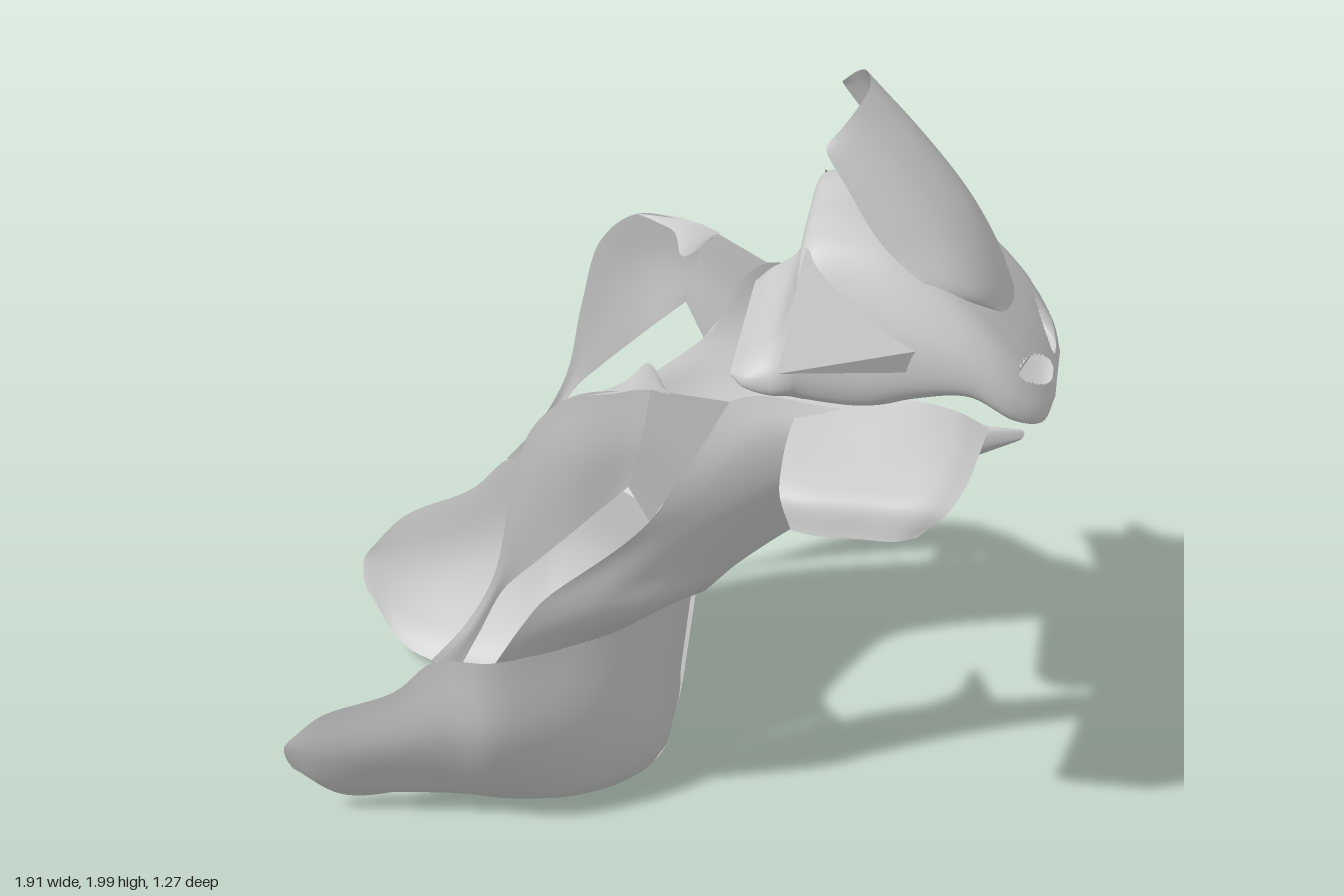
import * as THREE from 'three';

const paint = new THREE.MeshStandardMaterial({ color: 0xcccccc, side: THREE.DoubleSide });
paint.name = 'light grey plastic';

const spline = (pts, n) => {
  const curve = new THREE.CatmullRomCurve3(pts);
  return Array.from({ length: n + 1 }, (_, i) => curve.getPoint(i / n));
};

// Smooth skin through cross-sections of [x, y, z] points; skip(p) leaves openings
function loft(name, sections, nu = 24, nv = 32, skip = () => false) {
  const rows = sections.map(s => spline(s.map(p => new THREE.Vector3(...p)), nu));
  const cols = rows[0].map((_, i) => spline(rows.map(r => r[i]), nv));
  const pos = [], index = [];
  cols.forEach(c => c.forEach(p => pos.push(p.x, p.y, p.z)));
  for (let i = 0; i < nu; i++) for (let j = 0; j < nv; j++) {
    const a = i * (nv + 1) + j, b = a + nv + 1;
    const mid = cols[i][j].clone().add(cols[i + 1][j + 1]).multiplyScalar(0.5);
    if (!skip(mid)) index.push(a, b, a + 1, b, b + 1, a + 1);
  }
  const g = new THREE.BufferGeometry();
  g.setAttribute('position', new THREE.Float32BufferAttribute(pos, 3));
  g.setIndex(index);
  g.computeVertexNormals();
  const m = new THREE.Mesh(g, paint);
  m.name = name;
  return m;
}

// Separate flat triangles
function facets(name, tris) {
  const g = new THREE.BufferGeometry();
  g.setAttribute('position', new THREE.Float32BufferAttribute(tris.flat(2), 3));
  g.computeVertexNormals();
  const m = new THREE.Mesh(g, paint);
  m.name = name;
  return m;
}

// Completes a half section that starts on the centre line
const whole = half => [...half.slice(1).reverse().map(([x, y, z]) => [x, y, -z]), ...half];

function sideParts() {
  const side = new THREE.Group();

  // Belly panel: sections run from the top edge down and under, tail to keel-like front
  side.add(loft('bellyPanel', [
    [[-0.94, 0.29, 0.475], [-0.955, 0.265, 0.47], [-0.958, 0.235, 0.46], [-0.955, 0.21, 0.45], [-0.945, 0.18, 0.44]],
    [[-0.84, 0.395, 0.5], [-0.87, 0.26, 0.475], [-0.87, 0.15, 0.43], [-0.86, 0.1, 0.4], [-0.83, 0.055, 0.365]],
    [[-0.65, 0.49, 0.51], [-0.66, 0.3, 0.485], [-0.66, 0.12, 0.385], [-0.66, 0.06, 0.335], [-0.66, 0.035, 0.28]],
    [[-0.54, 0.595, 0.515], [-0.52, 0.35, 0.495], [-0.52, 0.12, 0.375], [-0.52, 0.04, 0.29], [-0.525, 0.022, 0.155]],
    [[-0.4, 0.6, 0.51], [-0.4, 0.35, 0.495], [-0.4, 0.12, 0.37], [-0.4, 0.03, 0.28], [-0.4, 0.012, 0.065]],
    [[-0.25, 0.595, 0.42], [-0.25, 0.35, 0.42], [-0.25, 0.12, 0.33], [-0.25, 0.03, 0.25], [-0.25, 0.01, 0.065]],
    [[-0.12, 0.59, 0.31], [-0.12, 0.35, 0.31], [-0.12, 0.12, 0.25], [-0.14, 0.035, 0.19], [-0.16, 0.012, 0.065]],
    [[-0.02, 0.59, 0.18], [-0.03, 0.35, 0.18], [-0.04, 0.14, 0.16], [-0.06, 0.06, 0.13], [-0.09, 0.025, 0.07]],
    [[0.05, 0.6, 0.1], [0.02, 0.35, 0.085], [0, 0.19, 0.08], [-0.02, 0.1, 0.08], [-0.05, 0.05, 0.07]],
  ], 28, 48));

  // Front panel: sections run from the window edge to the leading edge, with an overhanging shelf
  side.add(loft('frontPanel', [
    [[-0.39, 0.595, 0.505], [-0.25, 0.595, 0.42], [-0.12, 0.59, 0.31], [-0.02, 0.59, 0.18], [0.05, 0.6, 0.1]],
    [[-0.31, 0.73, 0.51], [-0.13, 0.74, 0.465], [0.0, 0.745, 0.41], [0.06, 0.735, 0.34], [0.105, 0.7, 0.25]],
    [[-0.26, 0.8, 0.51], [-0.07, 0.84, 0.47], [0.04, 0.85, 0.41], [0.13, 0.83, 0.33], [0.19, 0.8, 0.27]],
    [[0, 1.03, 0.48], [0.08, 1.02, 0.435], [0.17, 1.0, 0.385], [0.26, 0.97, 0.325], [0.35, 0.93, 0.265]],
    [[0.18, 1.32, 0.375], [0.25, 1.23, 0.39], [0.33, 1.14, 0.365], [0.43, 1.08, 0.31], [0.5, 1.02, 0.265]],
    [[0.45, 1.28, 0.3], [0.51, 1.24, 0.32], [0.56, 1.2, 0.32], [0.61, 1.14, 0.3], [0.66, 1.1, 0.265]],
    [[0.88, 1.235, 0.26], [0.885, 1.23, 0.26], [0.885, 1.22, 0.26], [0.88, 1.21, 0.26], [0.87, 1.2, 0.255]],
  ], 28, 48));

  // Upper band and slim rear strut around the window
  const corner = [[-0.05, 1.13, 0.49], [-0.02, 1.25, 0.48], [0, 1.38, 0.45]];
  side.add(loft('upperBand', [[[0, 1.03, 0.48], [0.09, 1.17, 0.445], [0.18, 1.32, 0.375]], corner], 12, 8));
  side.add(loft('rearStrut', [
    corner,
    [[-0.13, 1.055, 0.5], [-0.15, 1.23, 0.515], [-0.18, 1.375, 0.5]],
    [[-0.2, 0.987, 0.51], [-0.24, 1.17, 0.52], [-0.28, 1.285, 0.515]],
    [[-0.28, 0.91, 0.515], [-0.31, 1.01, 0.52], [-0.335, 1.09, 0.52]],
    [[-0.36, 0.825, 0.515], [-0.37, 0.845, 0.52], [-0.38, 0.87, 0.52]],
    [[-0.42, 0.7, 0.51], [-0.44, 0.705, 0.515], [-0.46, 0.71, 0.51]],
    [[-0.47, 0.595, 0.505], [-0.51, 0.595, 0.51], [-0.55, 0.595, 0.51]],
  ], 12, 48));

  // Folded flange along the top edge, drawn in to a point
  side.add(loft('topFlange', [
    [[-0.18, 1.375, 0.5], [-0.16, 1.373, 0.49], [-0.14, 1.37, 0.48]],
    [[-0.08, 1.383, 0.485], [-0.075, 1.38, 0.45], [-0.07, 1.375, 0.41]],
    [[-0.02, 1.383, 0.455], [-0.025, 1.375, 0.37], [-0.03, 1.365, 0.29]],
    [[0.05, 1.365, 0.44], [0.04, 1.365, 0.43], [0.03, 1.36, 0.41]],
  ], 8, 20));

  // Hand guard, arched outward and down
  side.add(loft('handGuard', [
    [[0.35, 1.285, 0.27], [0.45, 1.285, 0.27], [0.62, 1.3, 0.27], [0.72, 1.28, 0.27], [0.8, 1.24, 0.27]],
    [[0.33, 1.27, 0.4], [0.42, 1.265, 0.4], [0.6, 1.275, 0.4], [0.72, 1.26, 0.4], [0.785, 1.235, 0.4]],
    [[0.325, 1.24, 0.53], [0.4, 1.235, 0.54], [0.58, 1.235, 0.54], [0.7, 1.235, 0.54], [0.765, 1.22, 0.52]],
    [[0.33, 1.2, 0.6], [0.4, 1.2, 0.61], [0.55, 1.2, 0.61], [0.67, 1.2, 0.61], [0.73, 1.19, 0.6]],
    [[0.36, 1.125, 0.625], [0.42, 1.12, 0.635], [0.52, 1.12, 0.635], [0.61, 1.12, 0.635], [0.66, 1.13, 0.625]],
  ]));

  // Pointed side wing of the nose cowl
  const tip = [0.31, 1.48, 0.51], top = [0.34, 1.67, 0.22], front = [0.65, 1.46, 0.3];
  const low = [0.29, 1.36, 0.28], lowFront = [0.62, 1.4, 0.31];
  side.add(facets('cowlWing', [[tip, front, top], [tip, lowFront, front], [tip, low, lowFront]]));

  // Slats inside the head lamp opening
  for (const y of [1.33, 1.37]) {
    const slat = new THREE.Mesh(new THREE.BoxGeometry(0.04, 0.008, 0.2), paint);
    slat.name = 'lampSlat';
    slat.position.set(0.84, y, 0.14);
    slat.rotation.y = -0.25;
    side.add(slat);
  }
  return side;
}

// Head lamp opening: slanted ellipse on the nose, clear of the underside
function inLamp(p) {
  if (p.x < 0.82 || p.y < 1.29) return false;
  const u = Math.abs(p.z) - 0.14, v = p.y - 1.34 - u * 0.35;
  return (u / 0.11) ** 2 + (v / 0.036) ** 2 < 1;
}

export function createModel() {
  const model = new THREE.Group();
  model.name = 'motorcycleFairing';

  const left = sideParts();
  left.name = 'leftSide';
  const right = left.clone();
  right.name = 'rightSide';
  right.scale.z = -1;
  model.add(left, right);

  // Centre strip joining the two belly panels
  const path = [[-0.19, 0.06], [-0.14, 0.025], [-0.07, 0.03], [-0.02, 0.1], [-0.01, 0.22], [0, 0.35], [0.02, 0.48], [0.045, 0.57]];
  model.add(loft('centreStrip', path.map(([x, y], i) =>
    whole([[x - 0.015, y, 0], [x, y, 0.05], [x + 0.005, y + i * 0.005, 0.085 + i * 0.002]])), 12, 28));

  // Nose cowl: x, top, bottom, upper half width, lower half width
  const stations = [
    [0.165, 1.335, 1.325, 0.22, 0.25], [0.2, 1.37, 1.31, 0.25, 0.29], [0.27, 1.43, 1.29, 0.25, 0.3],
    [0.315, 1.56, 1.285, 0.24, 0.3], [0.34, 1.69, 1.28, 0.225, 0.3], [0.5, 1.7, 1.275, 0.225, 0.31],
    [0.62, 1.64, 1.31, 0.235, 0.315], [0.75, 1.53, 1.325, 0.25, 0.31], [0.86, 1.41, 1.26, 0.24, 0.287],
    [0.925, 1.32, 1.235, 0.18, 0.23], [0.952, 1.27, 1.25, 0.08, 0.11],
  ];
  model.add(loft('noseCowl', stations.map(([x, t, b, wt, wb]) => {
    const h = t - b;
    return whole([[x, t, 0], [x, t - h * 0.01, wt * 0.6], [x, t - h * 0.09, wt], [x, b + h * 0.52, wb],
      [x, b + h * 0.12, wb], [x, b, wb * 0.87], [x, b, 0]]);
  }), 160, 140, inLamp));

  // Curved windscreen: centre x, y and edge x, y, half width
  const screen = [
    [0.835, 1.465, 0.79, 1.49, 0.13], [0.8, 1.56, 0.67, 1.57, 0.23], [0.72, 1.71, 0.53, 1.69, 0.235],
    [0.6, 1.86, 0.43, 1.84, 0.215], [0.51, 1.955, 0.385, 1.91, 0.2], [0.465, 2.0, 0.38, 1.925, 0.19],
  ];
  model.add(loft('windscreen', screen.map(([cx, cy, ex, ey, w]) => whole([
    [cx, cy, 0], [cx - (cx - ex) * 0.22, cy - (cy - ey) * 0.1, w * 0.58],
    [cx - (cx - ex) * 0.55, cy - (cy - ey) * 0.45, w * 0.86], [ex, ey, w]]))));
  return model;
}
